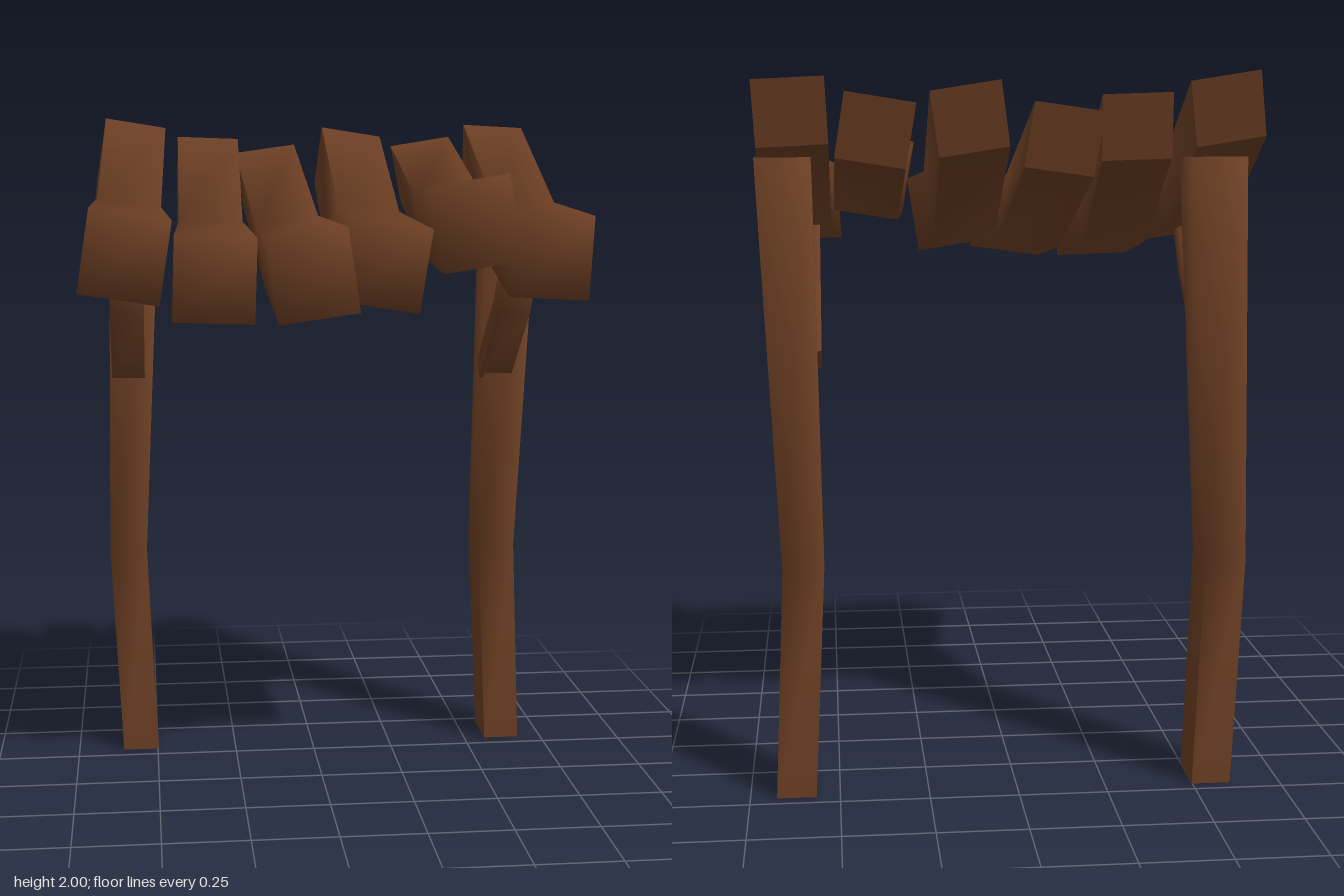
import * as THREE from 'three';

const wood = new THREE.MeshStandardMaterial({ color: 0x6b3e23 });
wood.name = 'brownWood';

// Four-sided beam through a list of sections { c: centre, u: half width, v: half height }.
// Corners are shaded softly, except at the last section, which stays crisp.
function beam(name, sections) {
  const last = sections.length - 1;
  const corners = sections.map(({ c, u, v }) =>
    [[-1, -1], [1, -1], [1, 1], [-1, 1]].map(([a, b]) =>
      c.clone().addScaledVector(u, a).addScaledVector(v, b)));
  const quads = [
    [[0, 0], [0, 1], [0, 2], [0, 3]],
    [[last, 3], [last, 2], [last, 1], [last, 0]],
  ];
  for (let s = 0; s < last; s++) {
    for (let k = 0; k < 4; k++) {
      const n = (k + 1) % 4;
      quads.push([[s, n], [s, k], [s + 1, k], [s + 1, n]]);
    }
  }
  const at = ([s, k]) => corners[s][k];
  const soft = corners.map(ring => ring.map(() => new THREE.Vector3()));
  const faceNormals = quads.map(q => {
    const d1 = at(q[2]).clone().sub(at(q[0]));
    const d2 = at(q[3]).clone().sub(at(q[1]));
    const n = d1.cross(d2).normalize();
    q.forEach(([s, k]) => soft[s][k].add(n));
    return n;
  });
  const pos = [], nor = [];
  quads.forEach((q, f) => {
    for (const i of [0, 1, 2, 0, 2, 3]) {
      const [s, k] = q[i];
      const n = s === last ? faceNormals[f] : soft[s][k].clone().normalize();
      pos.push(...at(q[i]).toArray());
      nor.push(...n.toArray());
    }
  });
  const geo = new THREE.BufferGeometry();
  geo.setAttribute('position', new THREE.Float32BufferAttribute(pos, 3));
  geo.setAttribute('normal', new THREE.Float32BufferAttribute(nor, 3));
  const mesh = new THREE.Mesh(geo, wood);
  mesh.name = name;
  return mesh;
}

const V = (x, y, z) => new THREE.Vector3(x, y, z);

// Plank section: centre, width, height, roll in degrees, backward lean of the top
function plankSection(x, y, z, w, h, roll, lean) {
  const r = THREE.MathUtils.degToRad(roll);
  return {
    c: V(x, y, z),
    u: V(Math.cos(r), Math.sin(r), 0).multiplyScalar(w / 2),
    v: V(-Math.sin(r), Math.cos(r), -lean).multiplyScalar(h / 2),
  };
}

// Roof planks: front [x, y, z], middle [x, y], back [x, y, z], roll, front lean
const planks = [
  [[-0.573, 1.622, 0.45], [-0.573, 1.66], [-0.55, 1.897, -0.542], -9, 0],
  [[-0.335, 1.562, 0.482], [-0.326, 1.605], [-0.313, 1.85, -0.502], -2, 0.05],
  [[-0.073, 1.572, 0.5], [-0.088, 1.607], [-0.118, 1.817, -0.5], 8, 0.08],
  [[0.13, 1.595, 0.445], [0.125, 1.645], [0.137, 1.87, -0.542], -9, 0],
  [[0.36, 1.71, 0.53], [0.385, 1.69], [0.385, 1.84, -0.525], 9, 0.25],
  [[0.583, 1.617, 0.45], [0.597, 1.66], [0.606, 1.887, -0.535], -3, 0],
];

// Post: sections from top to foot
function post(name, x) {
  const rows = [
    [0.008, 1.77, -0.38, 0.15, 0.19],
    [-0.029, 0.65, -0.38, 0.114, 0.172],
    [0, 0, -0.38, 0.11, 0.16],
  ];
  return beam(name, rows.map(([dx, y, z, w, d]) => ({
    c: V(x + dx, y, z), u: V(w / 2, 0, 0), v: V(0, 0, -d / 2),
  })));
}

// Bent brace from the roof back down to the post
function brace(name, x) {
  const rows = [
    [1.61, 0.05, 0.85, 0.55],
    [1.443, -0.062, 0.77, 0.64],
    [1.215, -0.33, 0.64, 0.77],
  ];
  return beam(name, rows.map(([y, z, dy, dz]) => ({
    c: V(x, y, z), u: V(0.05, 0, 0), v: V(0, dz, -dy).multiplyScalar(0.034),
  })));
}

export function createModel() {
  const model = new THREE.Group();
  model.name = 'woodenCanopy';

  const roof = new THREE.Group();
  roof.name = 'roof';
  planks.forEach(([f, m, b, roll, lean], i) => {
    roof.add(beam('roofPlank' + (i + 1), [
      plankSection(...f, 0.222, 0.23, roll, lean),
      plankSection(...m, -0.02, 0.185, 0.185, roll, 0),
      plankSection(...b, 0.19, 0.175, roll, 0.25),
    ]));
  });
  model.add(roof);

  model.add(post('rightPost', -0.553), post('leftPost', 0.621));
  model.add(brace('rightBrace', -0.572), brace('leftBrace', 0.583));
  return model;
}
